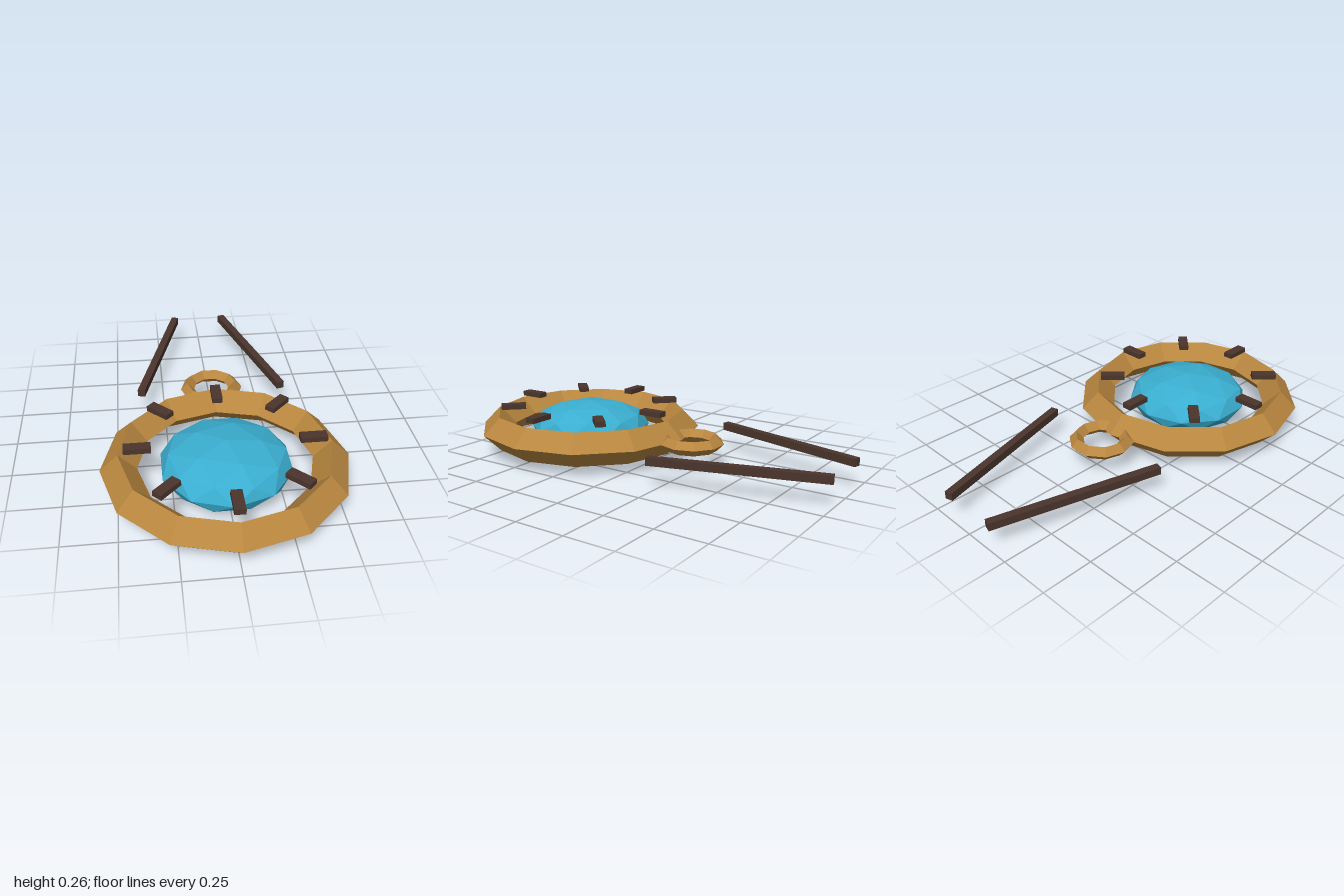
import * as THREE from 'three';

const paint = (color) => new THREE.MeshStandardMaterial({ color, flatShading: true });

export function createModel() {
  const model = new THREE.Group();
  const gold = paint(0xb8863f);
  const blue = paint(0x3aaed0);
  const brown = paint(0x4a352c);
  const MID_Y = 0.13;   // height of the pendant's middle plane
  const RING_Z = 0.42;  // centre of the pendant

  const add = (name, geometry, material, x, y, z, turn = 0) => {
    const mesh = new THREE.Mesh(geometry, material);
    mesh.name = name;
    mesh.position.set(x, y, z);
    mesh.rotation.y = turn;
    model.add(mesh);
    return mesh;
  };

  // Flat-lying rings with a diamond cross-section
  const ring = (radius, tube, sides) =>
    new THREE.TorusGeometry(radius, tube, 4, sides).rotateX(Math.PI / 2);
  add('frameRing', ring(0.49, 0.085, 12), gold, 0, MID_Y, RING_Z);
  add('hangingLoop', ring(0.125, 0.035, 10), gold, 0, MID_Y, -0.213);

  // Faceted gem: icosphere turned so that a corner points up, then flattened
  const golden = (1 + Math.sqrt(5)) / 2;
  const gem = new THREE.IcosahedronGeometry(1, 1)
    .rotateZ(-Math.atan(1 / golden))
    .scale(0.31, 0.128, 0.31);
  add('gem', gem, blue, 0, MID_Y + 0.001, RING_Z);

  // Eight prongs set radially above the frame
  const prong = new THREE.BoxGeometry(0.125, 0.026, 0.05);
  for (let i = 0; i < 8; i++) {
    const a = (i * Math.PI) / 4;
    add('prong' + (i + 1), prong, brown,
      0.4 * Math.cos(a), 0.244, RING_Z + 0.4 * Math.sin(a), -a);
  }

  // Two cord pieces converging towards the back
  const cord = new THREE.BoxGeometry(0.038, 0.038, 0.827);
  for (const side of [1, -1]) {
    add(side > 0 ? 'leftCord' : 'rightCord', cord, brown,
      side * 0.254, MID_Y, -0.597, side * 0.28);
  }

  return model;
}
